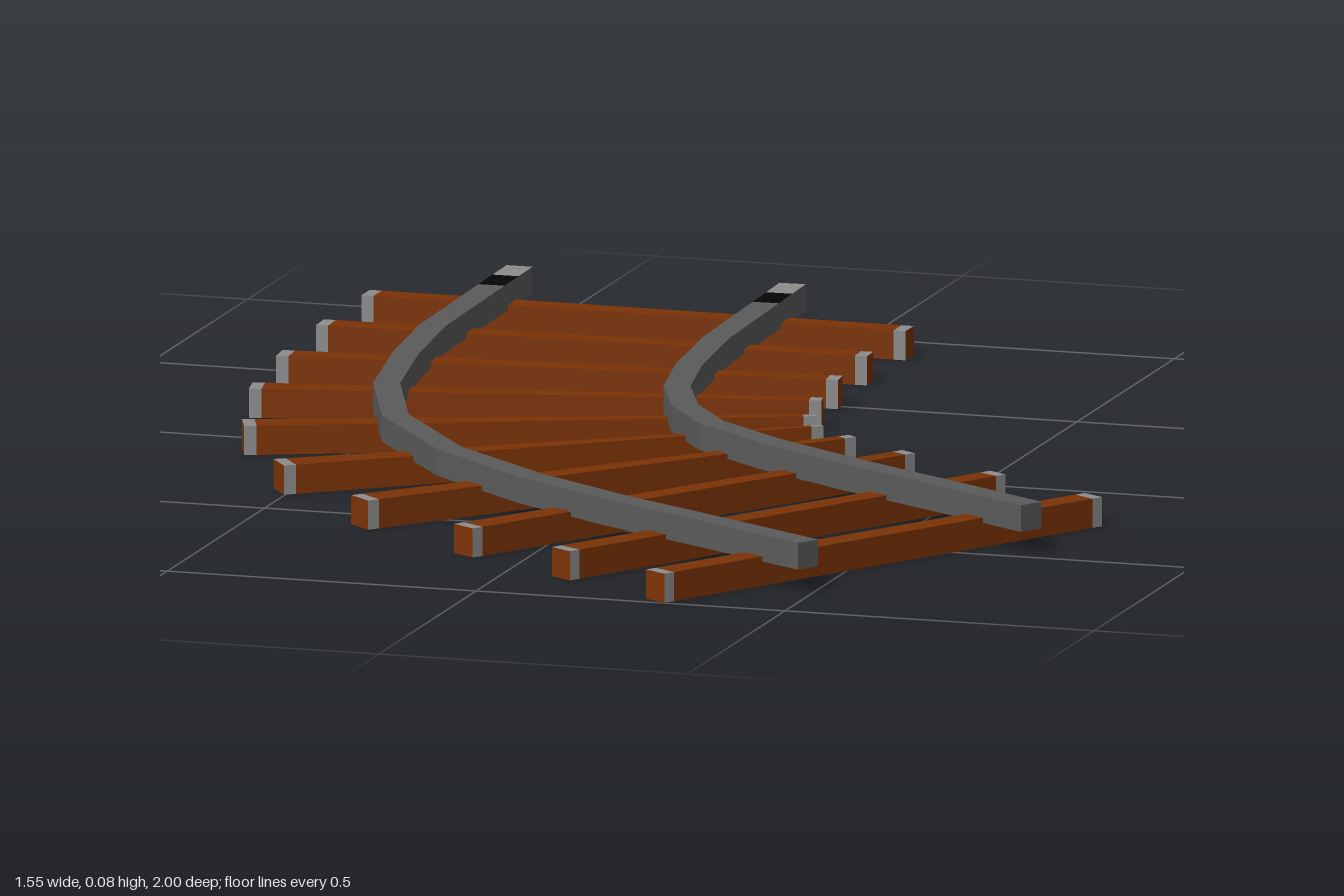
import * as THREE from 'three';

const mat = (name, color) => new THREE.MeshStandardMaterial({ name, color });

// Sweeps a rectangular section along stations [x, z, width].
// pick(segment, face) gives the material index; faces: 0 left side, 1 top, 2 right side, 3 bottom.
// Segment -1 is the two end caps, face 0 at the start and 1 at the end.
function sweep(name, stations, y0, y1, materials, pick) {
  const rings = stations.map(([x, z, w], i) => {
    const p = stations[Math.max(i - 1, 0)], q = stations[Math.min(i + 1, stations.length - 1)];
    const a = new THREE.Vector2(x - p[0], z - p[1]).normalize();
    const b = new THREE.Vector2(q[0] - x, q[1] - z).normalize();
    const d = a.add(b).normalize();
    const nx = d.y * w / 2, nz = -d.x * w / 2;
    return [[x + nx, y0, z + nz], [x + nx, y1, z + nz], [x - nx, y1, z - nz], [x - nx, y0, z - nz]];
  });
  const buckets = materials.map(() => []);
  const quad = (m, a, b, c, d) => buckets[m].push(...a, ...b, ...c, ...a, ...c, ...d);
  for (let i = 0; i < rings.length - 1; i++) {
    for (let j = 0; j < 4; j++) {
      const k = (j + 1) % 4;
      quad(pick(i, j), rings[i][j], rings[i][k], rings[i + 1][k], rings[i + 1][j]);
    }
  }
  const s = rings[0], e = rings[rings.length - 1];
  quad(pick(-1, 0), s[0], s[3], s[2], s[1]);
  quad(pick(-1, 1), e[0], e[1], e[2], e[3]);

  const geo = new THREE.BufferGeometry();
  geo.setAttribute('position', new THREE.Float32BufferAttribute(buckets.flat(), 3));
  let start = 0;
  buckets.forEach((b, m) => {
    if (b.length) geo.addGroup(start, b.length / 3, m);
    start += b.length / 3;
  });
  geo.computeVertexNormals();
  const mesh = new THREE.Mesh(geo, materials);
  mesh.name = name;
  return mesh;
}

export function createModel() {
  const group = new THREE.Group();
  group.name = 'curvedTrack';
  const wood = mat('brownWood', 0x7b3306);
  const steel = mat('darkSteel', 0x5a5a5a);
  const pale = mat('paleSteel', 0x8c8c8c);
  const black = mat('blackJoint', 0x050505);

  // Sleepers: outer x, z, width, then inner x, z, width
  const sleepers = [
    [-0.775, -0.892, 0.043, 0.108, -0.884, 0.042],
    [-0.775, -0.657, 0.045, 0.108, -0.682, 0.035],
    [-0.765, -0.417, 0.045, 0.118, -0.497, 0.033],
    [-0.733, -0.168, 0.047, 0.14, -0.335, 0.025],
    [-0.66, 0.103, 0.052, 0.167, -0.215, 0.012],
    [-0.517, 0.373, 0.053, 0.2, -0.146, 0.008],
    [-0.317, 0.592, 0.05, 0.268, -0.083, 0.02],
    [-0.1, 0.748, 0.045, 0.386, 0.003, 0.03],
    [0.096, 0.869, 0.043, 0.565, 0.113, 0.036],
    [0.286, 0.987, 0.043, 0.757, 0.231, 0.041],
  ];
  sleepers.forEach((s, n) => {
    // narrow steel band at each end, wooden end faces
    const stations = [0, 0.022, 0.978, 1].map((t) =>
      [0, 1, 2].map((k) => s[k] + (s[k + 3] - s[k]) * t));
    group.add(sweep('sleeper' + (n + 1), stations, 0, 0.046, [wood, pale],
      (i) => (i === 0 || i === 2 ? 1 : 0)));
  });

  // Rails: centre lines from the back end to the front end
  const rails = {
    outerRail: [[-0.56, -1], [-0.559, -0.925], [-0.558, -0.85], [-0.553, -0.53], [-0.53, -0.32],
      [-0.49, -0.095], [-0.405, 0.13], [-0.25, 0.345], [-0.07, 0.503], [0.108, 0.624],
      [0.293, 0.733], [0.491, 0.853]],
    innerRail: [[-0.118, -1], [-0.116, -0.925], [-0.114, -0.85], [-0.108, -0.58], [-0.087, -0.37],
      [-0.055, -0.206], [0, -0.074], [0.077, 0.037], [0.204, 0.143], [0.373, 0.256],
      [0.558, 0.368], [0.734, 0.477]],
  };
  for (const [name, path] of Object.entries(rails)) {
    // pale tongue and black joint at the back end
    group.add(sweep(name, path.map(([x, z]) => [x, z, 0.042]), 0.038, 0.08, [steel, pale, black],
      (i, j) => {
        if (i === -1) return j === 0 ? 1 : 0;
        if (i === 0) return j === 1 || j === 2 ? 1 : 0;
        return i === 1 && j === 1 ? 2 : 0;
      }));
  }
  return group;
}
